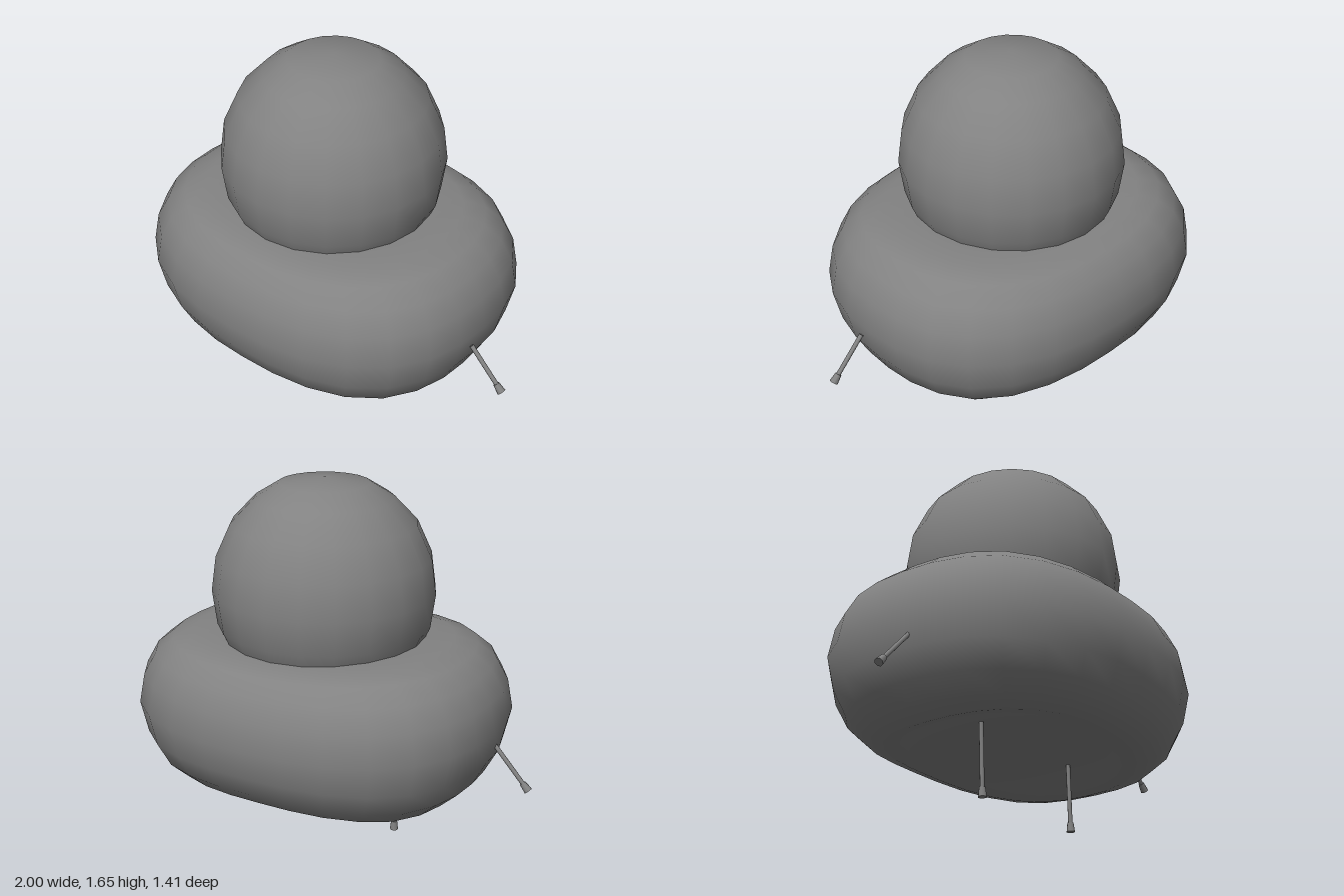
import * as THREE from 'three';
import { mergeVertices } from 'three/addons/utils/BufferGeometryUtils.js';

const CX = -0.012; // the body and head sit slightly off the centre line

// Lathe without a shading seam; warp(position) may reshape each vertex.
function smoothLathe(points, segments, warp) {
  const profile = points.map(([r, y]) => new THREE.Vector2(r, y));
  let geo = new THREE.LatheGeometry(profile, segments);
  geo.deleteAttribute('uv');
  geo.deleteAttribute('normal');
  const pos = geo.attributes.position;
  const p = new THREE.Vector3();
  for (let i = 0; warp && i < pos.count; i++) {
    p.fromBufferAttribute(pos, i);
    warp(p);
    pos.setXYZ(i, p.x, p.y, p.z);
  }
  geo = mergeVertices(geo, 1e-4);
  geo.computeVertexNormals();
  return geo;
}

// Squared-off cushion: round profile, superelliptic plan, pinched along its middle.
function bodyWarp(p) {
  const r = Math.hypot(p.x, p.z);
  if (r > 1e-6) {
    const c = Math.abs(p.x / r), s = Math.abs(p.z / r), n = 2.4;
    const k = Math.pow(Math.pow(c, n) + Math.pow(s, n), -1 / n);
    p.x *= 0.843 * k;
    p.z *= 0.703 * k;
  }
  const pinch = Math.max(0, 1 - (p.x / 0.58) ** 2);
  p.y = 0.62 + (p.y - 0.62) * (1 - pinch * (p.y > 0.62 ? 0.045 : 0.11));
  p.y -= 0.006 * p.x; // slight sideways lean
}

// Thin rod from a to b, ending in a thicker tip.
function limb(name, tipName, a, b) {
  const group = new THREE.Group();
  group.name = name;
  const start = new THREE.Vector3(...a), end = new THREE.Vector3(...b);
  const dir = end.clone().sub(start);
  const length = dir.length(), tip = 0.042;
  const add = (part, rStart, rEnd, from, to) => {
    const mesh = new THREE.Mesh(new THREE.CylinderGeometry(rEnd, rStart, to - from, 8), material);
    mesh.name = part;
    mesh.position.y = (from + to) / 2;
    group.add(mesh);
  };
  add('rod', 0.01, 0.01, 0, length - tip);
  add(tipName, 0.014, 0.019, length - tip, length);
  group.position.copy(start);
  group.quaternion.setFromUnitVectors(new THREE.Vector3(0, 1, 0), dir.normalize());
  return group;
}

const material = new THREE.MeshStandardMaterial({ color: 0x828282 });

export function createModel() {
  const model = new THREE.Group();
  model.name = 'figure';

  // Body cushion with a dished underside
  const body = new THREE.Mesh(smoothLathe([
    [0, 0.318], [0.2, 0.313], [0.42, 0.3], [0.57, 0.278], [0.68, 0.266], [0.79, 0.298],
    [0.89, 0.375], [0.96, 0.485], [1, 0.63], [0.97, 0.765], [0.905, 0.865], [0.81, 0.93],
    [0.69, 0.96], [0.5, 0.963], [0.25, 0.955], [0, 0.955],
  ], 28, bodyWarp), material);
  body.name = 'body';
  body.position.x = CX;
  model.add(body);

  // Ball head with a slightly flattened crown
  const head = new THREE.Mesh(smoothLathe([
    [0, 0.655], [0.2, 0.68], [0.305, 0.75], [0.41, 0.855], [0.476, 1.0], [0.497, 1.155],
    [0.476, 1.31], [0.41, 1.455], [0.305, 1.565], [0.2, 1.63], [0, 1.655],
  ], 20), material);
  head.name = 'head';
  head.position.x = CX;
  model.add(head);

  // Arms and legs
  model.add(
    limb('rightArm', 'hand', [-0.82, 0.545, 0.088], [-0.987, 0.362, 0.09]),
    limb('leftArm', 'hand', [0.818, 0.56, 0.072], [0.985, 0.39, 0.071]),
    limb('rightLeg', 'foot', [-0.342, 0.38, 0.082], [-0.337, 0.002, 0.09]),
    limb('leftLeg', 'foot', [0.303, 0.38, 0.078], [0.31, 0.016, 0.083]),
  );
  return model;
}
